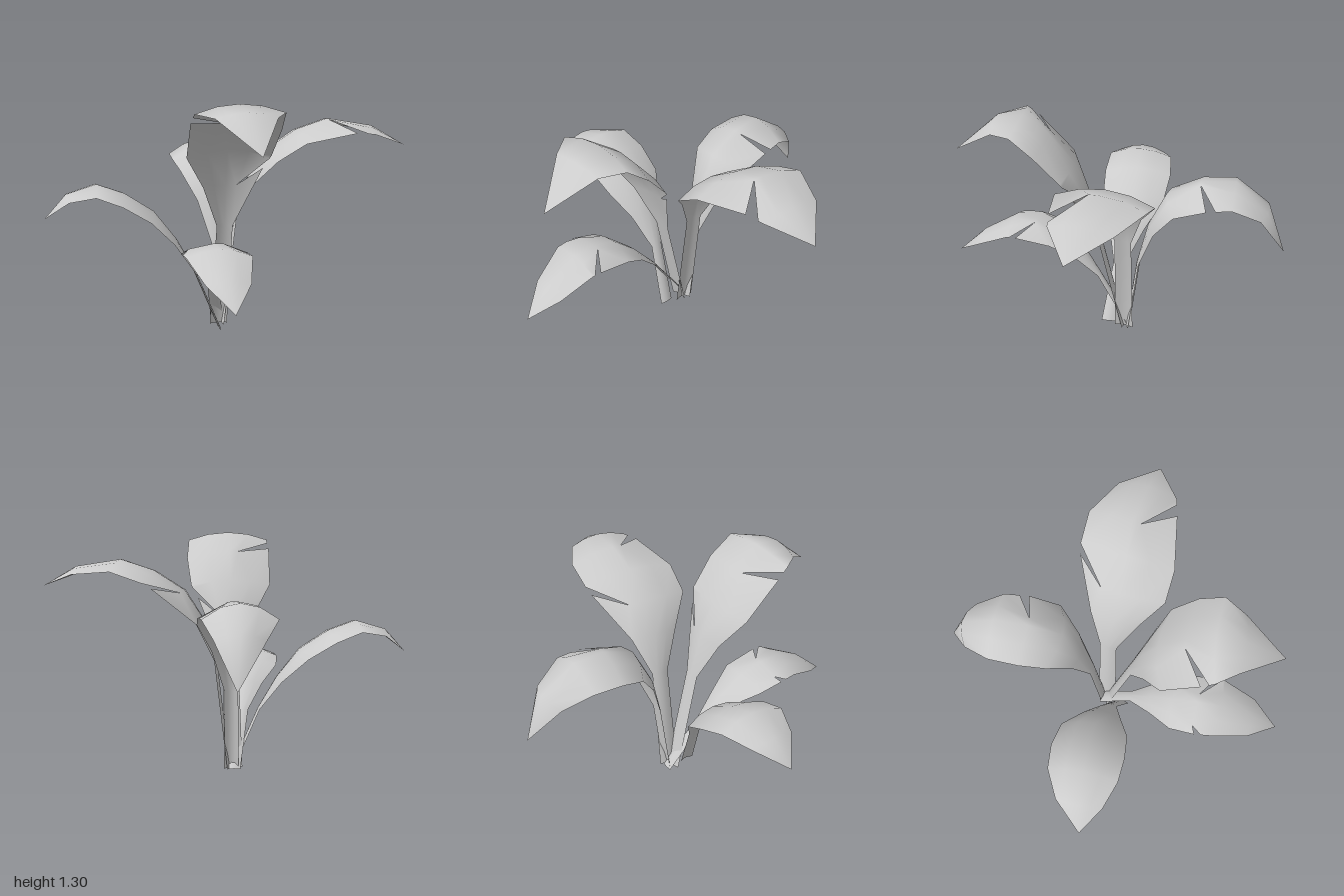
import * as THREE from 'three';
import { mergeVertices } from 'three/addons/utils/BufferGeometryUtils.js';

const material = new THREE.MeshStandardMaterial({ color: 0xcccccc, side: THREE.DoubleSide });

// Shared by all leaves: relative width of each row from foot to tip, and where it sits on the spine
const widthProfile = [0.2, 0.18, 0.52, 0.92, 1, 0.94, 0.63, 0];
const spineSteps = [0, 1, 1.5, 2, 2.5, 3, 4, 5];
const last = widthProfile.length - 1;

// spine: six points from foot to tip; droop: fall of the edges relative to the half width;
// tears: [side, row, depth, slant] cuts that slant outwards towards the tip
function buildLeaf(name, halfWidth, droop, spine, tears) {
  const points = spine.map(p => new THREE.Vector3(...p));
  const curve = new THREE.CatmullRomCurve3(points, false, 'catmullrom');
  const along = points[5].clone().sub(points[1]).setY(0).normalize();
  const across = new THREE.Vector3(0, 1, 0).cross(along);

  // Point on a row, f = -1..1 across the leaf, arched down towards both edges
  const rowPoint = (i, f) => {
    const w = halfWidth * widthProfile[i];
    const u = spineSteps[i] / 5;
    const up = curve.getTangent(u).cross(across).normalize();
    return curve.getPoint(u).addScaledVector(across, w * f).addScaledVector(up, -w * droop * f * f);
  };
  // Edge point between rows
  const edgePoint = (s, side) => {
    const i = Math.min(Math.floor(s), last - 1);
    return rowPoint(i, side).lerp(rowPoint(i + 1, side), s - i);
  };

  const positions = [];
  const quad = (a, b, c, d) => {
    for (const p of [a, b, c, a, c, d]) positions.push(p.x, p.y, p.z);
  };

  // Each half runs midrib - middle - edge; a tear splits the edge in two
  for (const side of [1, -1]) {
    let edge = 0;
    const rows = widthProfile.map((_, i) => {
      const tear = tears.find(t => t[0] === side && t[1] === i);
      const before = Math.max(edge, tear ? i + tear[3] : i);
      edge = tear ? before + 0.3 : before;
      return {
        mid: rowPoint(i, 0),
        inner: rowPoint(i, side * (tear ? tear[2] : 0.5)),
        before: edgePoint(before, side),
        after: edgePoint(edge, side),
      };
    });
    for (let i = 0; i < last; i++) {
      const a = rows[i], b = rows[i + 1];
      if (side > 0) {
        quad(a.inner, a.mid, b.mid, b.inner);
        quad(a.after, a.inner, b.inner, b.before);
      } else {
        quad(a.mid, a.inner, b.inner, b.mid);
        quad(a.inner, a.after, b.before, b.inner);
      }
    }
  }

  let geometry = new THREE.BufferGeometry();
  geometry.setAttribute('position', new THREE.Float32BufferAttribute(positions, 3));
  geometry = mergeVertices(geometry, 1e-4);
  geometry.computeVertexNormals();
  const mesh = new THREE.Mesh(geometry, material);
  mesh.name = name;
  return mesh;
}

export function createModel() {
  const plant = new THREE.Group();
  plant.name = 'leafyPlant';

  // Three tall leaves: front, left and back
  plant.add(buildLeaf('frontTallLeaf', 0.25, 0.22,
    [[-0.035, 0, -0.06], [-0.04, 0.6, 0.08], [-0.065, 1.03, 0.22],
      [-0.09, 1.3, 0.5], [-0.1, 1.27, 0.66], [-0.1, 1.08, 0.88]],
    [[1, 2, 0.45, 0.6], [-1, 4, 0.2, 0.5]]));
  plant.add(buildLeaf('leftTallLeaf', 0.265, 0.22,
    [[-0.015, 0, -0.06], [0.06, 0.62, -0.055], [0.23, 1, 0],
      [0.58, 1.17, 0.04], [0.82, 1.13, 0.11], [1, 1.02, 0.17]],
    [[1, 3, 0.45, 0.7], [-1, 5, 0.2, 0.55]]));
  plant.add(buildLeaf('backLeaf', 0.205, 0.42,
    [[-0.02, 0, -0.07], [-0.01, 0.45, -0.13], [0.01, 0.9, -0.29],
      [0.03, 0.99, -0.66], [0.06, 0.86, -0.85], [0.09, 0.6, -0.94]],
    [[-1, 4, 0.2, 0.2]]));

  // Two low leaves: right and front
  plant.add(buildLeaf('rightLowLeaf', 0.2, 0.25,
    [[-0.05, 0, 0.04], [-0.18, 0.33, -0.02], [-0.4, 0.67, -0.085],
      [-0.71, 0.83, -0.12], [-0.88, 0.78, -0.13], [-1, 0.65, -0.12]],
    []));
  plant.add(buildLeaf('frontLowLeaf', 0.178, 0.25,
    [[-0.03, 0, -0.1], [-0.11, 0.3, 0.09], [-0.19, 0.55, 0.33],
      [-0.225, 0.59, 0.6], [-0.24, 0.48, 0.8], [-0.25, 0.35, 0.94]],
    [[1, 4, 0.25, 0.6], [-1, 4, 0.75, 0.15]]));

  return plant;
}
